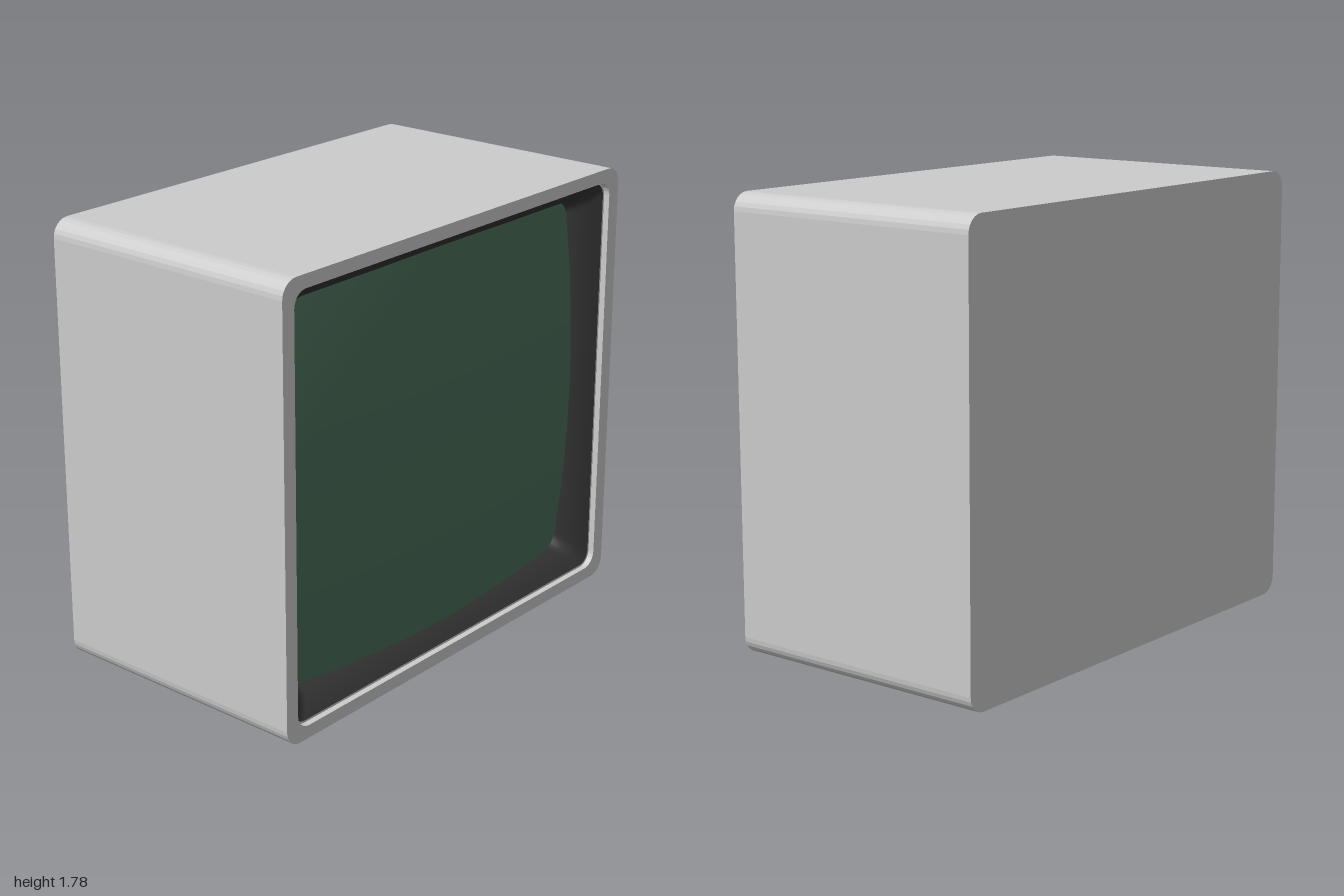
import * as THREE from 'three';

const H = 1.785, CY = H / 2, FRONT = 0.565;

// One rounded-rectangle outline, counter-clockwise seen from the front
function outline([hx, hy, r, z], steps = 6) {
  const pts = [];
  for (let c = 0; c < 4; c++) {
    const sx = c === 0 || c === 3 ? 1 : -1, sy = c < 2 ? 1 : -1;
    for (let i = 0; i <= steps; i++) {
      const a = (c + i / steps) * Math.PI / 2;
      pts.push([sx * (hx - r) + r * Math.cos(a), CY + sy * (hy - r) + r * Math.sin(a), z]);
    }
  }
  return pts;
}

// Skin a sequence of rounded rectangles [halfWidth, halfHeight, radius, z]
function loft(sections) {
  const rings = sections.map((s) => outline(s)), n = rings[0].length, index = [];
  for (let k = 0; k < rings.length - 1; k++) {
    for (let i = 0; i < n; i++) {
      const a = k * n + i, b = k * n + (i + 1) % n;
      index.push(a, b, b + n, a, b + n, a + n);
    }
  }
  const geo = new THREE.BufferGeometry();
  geo.setAttribute('position', new THREE.Float32BufferAttribute(rings.flat(2), 3));
  geo.setIndex(index);
  geo.computeVertexNormals();
  return geo;
}

export function createModel() {
  const group = new THREE.Group();
  const add = (name, geo, params) => {
    const mesh = new THREE.Mesh(geo, new THREE.MeshStandardMaterial(params));
    mesh.name = name;
    group.add(mesh);
  };

  // Cabinet: back panel, outer walls, front rim, then the stepped lip of the opening
  add('cabinet', loft([
    [0, 0, 0, -FRONT],
    [1, CY, 0.07, -FRONT],
    [1, CY, 0.07, FRONT],
    [0.94, 0.84, 0.06, FRONT],
    [0.94, 0.84, 0.06, FRONT - 0.025],
    [0.932, 0.832, 0.055, FRONT - 0.025],
  ]), { color: 0xcccccc, flatShading: true });

  // Dark bezel flaring inwards to the screen
  add('bezel', loft([
    [0.932, 0.832, 0.055, FRONT - 0.025],
    [0.89, 0.8, 0.055, FRONT - 0.055],
    [0.853, 0.772, 0.055, FRONT - 0.095],
    [0.838, 0.753, 0.055, FRONT - 0.14],
    [0.825, 0.74, 0.055, FRONT - 0.19],
  ]), { color: 0x333333 });

  // Domed screen; its edge is tucked behind the bezel
  const screen = new THREE.PlaneGeometry(1.73, 1.57, 32, 32);
  const p = screen.attributes.position, R = 6;
  for (let i = 0; i < p.count; i++) {
    const x = p.getX(i), y = p.getY(i);
    p.setXYZ(i, x, y + CY, FRONT - 0.035 - R + Math.sqrt(R * R - x * x - y * y));
  }
  screen.computeVertexNormals();
  add('screen', screen, { color: 0x4a6d58 });

  return group;
}
